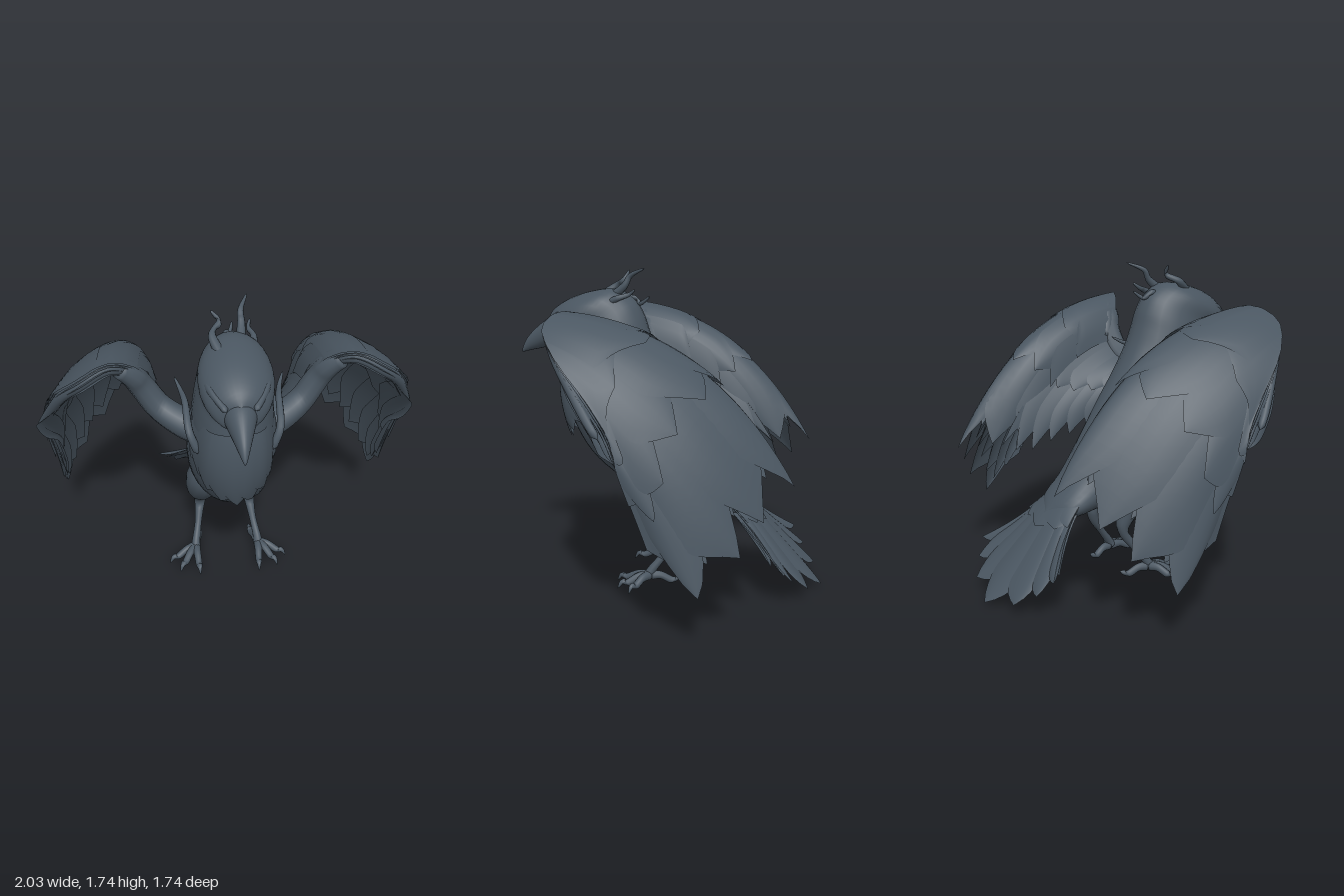
import * as THREE from 'three';
import { mergeGeometries } from 'three/addons/utils/BufferGeometryUtils.js';

const plumage = new THREE.MeshStandardMaterial({ color: 0x4a5661, side: THREE.DoubleSide });
plumage.name = 'slate plumage';

const V = (x, y, z) => new THREE.Vector3(x, y, z);
const curve = pts => new THREE.CatmullRomCurve3(pts.map(p => V(p[0], p[1], p[2])), false, 'catmullrom', 0.5);

// Smooth grid surface from fn(a, b) with a, b in 0..1; wrap closes it along a
function grid(fn, na, nb, wrap = false) {
  const pos = [], idx = [], cols = wrap ? na : na + 1;
  for (let j = 0; j <= nb; j++)
    for (let i = 0; i < cols; i++) pos.push(...fn(i / na, j / nb).toArray());
  for (let j = 0; j < nb; j++)
    for (let i = 0; i < na; i++) {
      const a = j * cols + i, b = j * cols + (i + 1) % cols, c = a + cols, d = b + cols;
      idx.push(a, b, c, b, d, c);
    }
  const g = new THREE.BufferGeometry();
  g.setAttribute('position', new THREE.Float32BufferAttribute(pos, 3));
  g.setIndex(idx);
  g.computeVertexNormals();
  return g;
}

// Skin through stations of [back z, back y, belly z, belly y, half width]
function skin(stations, nb) {
  const back = curve(stations.map(s => [s[4], s[1], s[0]]));
  const belly = curve(stations.map(s => [0, s[3], s[2]]));
  return grid((a, b) => {
    const p = back.getPoint(b), q = belly.getPoint(b), t = a * Math.PI * 2;
    const k = (1 + Math.cos(t)) / 2;
    return V(p.x * Math.sin(t), q.y + (p.y - q.y) * k, q.z + (p.z - q.z) * k);
  }, 28, nb, true);
}

// Tapered limb along points of [x, y, z, radius], pinched shut at both ends
function limb(pts, n = 20, sides = 10) {
  const c = curve(pts), radii = curve(pts.map(p => [p[3], 0, 0]));
  const f = c.computeFrenetFrames(n, false);
  return grid((a, b) => {
    const j = Math.round(b * n), t = a * Math.PI * 2;
    const r = j === 0 || j === n ? 0.0005 : radii.getPoint(b).x;
    return c.getPoint(b)
      .addScaledVector(f.normals[j], Math.cos(t) * r)
      .addScaledVector(f.binormals[j], Math.sin(t) * r);
  }, sides, n, true);
}

// Curved sheet between a leading edge and a row of tips, bulged midway
function sheet(lead, tips, bulge) {
  const A = curve(lead), T = curve(tips), B = curve(bulge);
  const at = (u, v) => {
    const p = A.getPoint(u), q = T.getPoint(u);
    const c = p.clone().add(q).multiplyScalar(0.5).addScaledVector(B.getPoint(u), 2);
    return p.multiplyScalar((1 - v) ** 2).addScaledVector(c, 2 * v * (1 - v)).addScaledVector(q, v * v);
  };
  const normal = (u, v) => {
    const u0 = Math.max(0, u - 0.02), u1 = Math.min(1, u + 0.02);
    const v0 = Math.max(0, v - 0.02), v1 = Math.min(1, v + 0.02);
    return at(u1, v).sub(at(u0, v)).cross(at(u, v1).sub(at(u, v0))).normalize();
  };
  return { at, normal };
}

// Row of overlapping feathers laid on a sheet; arch cups each blade, point shapes its tip
function feathers(s, count, length, offset, { width = 0.95, arch = 0.008, point = 1.4, taper = 0.7 } = {}) {
  const list = [];
  for (let i = 0; i < count; i++) {
    const mid = i / (count - 1);
    list.push(grid((a, b) => {
      const side = a * 2 - 1;
      const w = b < taper ? 1 : 1 - ((b - taper) / (1 - taper)) ** point;
      const u = THREE.MathUtils.clamp(mid + side * w * width / (count - 1), 0, 1);
      const v = b * length;
      return s.at(u, v).addScaledVector(s.normal(u, v), offset + w * b * (0.009 * side - arch * side * side));
    }, 6, 20));
  }
  return mergeGeometries(list);
}

export function createModel() {
  const model = new THREE.Group();
  model.name = 'raven';
  const add = (name, geometry, parent = model) => {
    const m = new THREE.Mesh(geometry, plumage);
    m.name = name;
    parent.add(m);
  };

  // Torso, neck and head
  add('body', skin([
    [-0.50, 0.44, -0.48, 0.42, 0.01], [-0.44, 0.52, -0.38, 0.40, 0.15], [-0.34, 0.64, -0.20, 0.42, 0.18],
    [-0.22, 0.83, 0.02, 0.44, 0.205], [-0.10, 1.02, 0.22, 0.54, 0.225], [0.0, 1.17, 0.42, 0.69, 0.23],
    [0.07, 1.30, 0.54, 0.87, 0.215], [0.11, 1.40, 0.60, 1.06, 0.205], [0.14, 1.49, 0.605, 1.20, 0.19],
    [0.19, 1.57, 0.60, 1.29, 0.175], [0.29, 1.63, 0.61, 1.32, 0.18], [0.42, 1.62, 0.63, 1.32, 0.176],
    [0.55, 1.58, 0.66, 1.32, 0.15], [0.65, 1.52, 0.68, 1.32, 0.10], [0.70, 1.45, 0.70, 1.34, 0.01]], 60));
  add('beak', skin([
    [0.62, 1.49, 0.62, 1.315, 0.09], [0.70, 1.46, 0.69, 1.305, 0.07], [0.77, 1.41, 0.76, 1.29, 0.046],
    [0.83, 1.35, 0.81, 1.28, 0.026], [0.86, 1.295, 0.85, 1.27, 0.01], [0.864, 1.27, 0.862, 1.267, 0.001]], 20));

  // Breast bib
  const bib = sheet(
    [[0.19, 1.24, 0.38], [0.12, 1.24, 0.55], [0, 1.25, 0.60], [-0.12, 1.24, 0.55], [-0.19, 1.24, 0.38]],
    [[0.21, 0.98, 0.38], [0.14, 0.86, 0.50], [0, 0.79, 0.555], [-0.14, 0.86, 0.50], [-0.21, 0.98, 0.38]],
    [[0.01, 0, 0], [0.01, 0, 0.03], [0, 0, 0.035], [-0.01, 0, 0.03], [-0.01, 0, 0]]);
  add('breastFeathers', feathers(bib, 9, 1, 0.01, { taper: 0.78 }));

  // Tail fan
  const tail = sheet(
    [[-0.15, 0.50, -0.36], [-0.10, 0.53, -0.37], [-0.05, 0.55, -0.37], [0, 0.56, -0.37],
      [0.05, 0.55, -0.37], [0.10, 0.53, -0.37], [0.15, 0.50, -0.36]],
    [[-0.39, 0.22, -0.68], [-0.32, 0.14, -0.74], [-0.21, 0.07, -0.81], [0, 0.02, -0.87],
      [0.21, 0.07, -0.81], [0.32, 0.14, -0.74], [0.39, 0.22, -0.68]],
    [[0.04, 0, 0], [0.02, 0, 0], [0, 0, 0], [0, 0, 0], [0, 0, 0], [-0.02, 0, 0], [-0.04, 0, 0]]);
  add('tailFeathers', feathers(tail, 7, 1, 0.005, { width: 0.68, arch: 0.02, point: 2.4, taper: 0.7 }));
  add('underTailFeathers', feathers(tail, 6, 0.88, -0.025, { width: 0.85, arch: -0.01, point: 2 }));
  add('tailCoverts', feathers(tail, 5, 0.36, 0.014));

  // Twisted crest plumes
  [[[-0.05, 1.56, 0.44, 0.03], [-0.10, 1.64, 0.33, 0.02], [-0.06, 1.675, 0.27, 0.015], [-0.10, 1.73, 0.25, 0.005]],
    [[0.03, 1.55, 0.36, 0.03], [0.05, 1.64, 0.24, 0.02], [0.05, 1.70, 0.20, 0.014], [0.09, 1.74, 0.11, 0.005]],
    [[0, 1.54, 0.32, 0.025], [-0.02, 1.58, 0.20, 0.017], [0, 1.55, 0.16, 0.013], [0.02, 1.59, 0.10, 0.005]],
    [[0.08, 1.53, 0.36, 0.025], [0.11, 1.58, 0.26, 0.017], [0.09, 1.60, 0.20, 0.012], [0.10, 1.63, 0.16, 0.005]]
  ].forEach(p => add('crestPlume', limb(p)));

  for (const s of [1, -1]) {
    const half = new THREE.Group();
    half.name = s > 0 ? 'leftSide' : 'rightSide';
    model.add(half);
    const side = (name, g) => {
      if (s < 0) {
        g.scale(-1, 1, 1);
        const i = g.index.array;
        for (let k = 0; k < i.length; k += 3) [i[k], i[k + 1]] = [i[k + 1], i[k]];
        g.computeVertexNormals();
      }
      add(name, g, half);
    };

    // Brow and eye
    side('brow', limb([[0.145, 1.50, 0.50, 0.015], [0.125, 1.49, 0.58, 0.022], [0.065, 1.44, 0.69, 0.015]]));
    const eye = new THREE.SphereGeometry(0.022, 12, 8);
    eye.translate(0.128, 1.45, 0.59);
    side('eye', eye);

    // Main wing: cupped sheet with layered feathers
    const wing = sheet(
      [[0.40, 1.27, 0.22], [0.46, 1.43, 0.29], [0.59, 1.52, 0.38], [0.74, 1.46, 0.425],
        [0.86, 1.34, 0.33], [0.95, 1.16, 0.17], [0.985, 1.04, 0.07]],
      [[0.37, 0.72, -0.42], [0.43, 0.74, -0.58], [0.52, 0.72, -0.75], [0.71, 0.59, -0.63],
        [0.83, 0.455, -0.54], [0.955, 0.29, -0.37], [0.945, 0.50, -0.13]],
      [[0, 0.11, -0.05], [-0.01, 0.15, -0.07], [0, 0.17, -0.08], [0.04, 0.18, -0.05],
        [0.06, 0.10, 0], [0, 0.03, -0.02], [-0.01, 0, 0]]);
    side('flightFeathers', feathers(wing, 7, 1, 0, { width: 0.85, arch: 0.015, taper: 0.76 }));
    side('wingCoverts', feathers(wing, 8, 0.62, 0.012));
    side('shoulderCoverts', feathers(wing, 6, 0.34, 0.022));
    side('underwingFeathers', feathers(wing, 13, 0.92, -0.02, { taper: 0.78 }));
    side('underwingCoverts', feathers(wing, 9, 0.5, -0.045));
    const edge = [];
    for (let i = 0; i <= 8; i++) {
      const u = i / 8, p = wing.at(u, 0.04).addScaledVector(wing.normal(u, 0.04), -0.022);
      edge.push([p.x, p.y, p.z, 0.052 - 0.035 * u]);
    }
    side('wingLeadingEdge', limb(edge, 32));

    // Arm joining wing to body, with its hanging feathers
    side('wingArm', limb([[0.12, 1.08, 0.30, 0.10], [0.24, 1.13, 0.30, 0.08],
      [0.36, 1.20, 0.25, 0.07], [0.44, 1.32, 0.24, 0.065], [0.49, 1.41, 0.27, 0.06], [0.56, 1.47, 0.31, 0.04]], 28));
    const inner = sheet(
      [[0.20, 1.13, 0.24], [0.28, 1.17, 0.25], [0.36, 1.23, 0.22], [0.44, 1.34, 0.22]],
      [[0.24, 0.80, -0.06], [0.29, 0.75, -0.24], [0.34, 0.69, -0.41], [0.39, 0.73, -0.54]],
      [[0, 0.05, 0], [0, 0.07, -0.02], [0, 0.08, -0.04], [0, 0.09, -0.05]]);
    side('innerWingFeathers', feathers(inner, 6, 1, 0));
    side('innerWingCoverts', feathers(inner, 5, 0.55, 0.012));

    // Curled shoulder plumes
    side('shoulderPlume', limb([[0.18, 1.06, 0.48, 0.022], [0.225, 1.18, 0.45, 0.02],
      [0.235, 1.26, 0.32, 0.017], [0.25, 1.27, 0.22, 0.013], [0.28, 1.31, 0.14, 0.005]]));
    side('smallShoulderPlume', limb([[0.18, 1.04, 0.36, 0.02], [0.215, 1.15, 0.37, 0.018],
      [0.22, 1.2, 0.28, 0.013], [0.23, 1.21, 0.2, 0.005]]));

    // Leg and foot
    side('leg', limb([[0.08, 0.74, 0.08, 0.09], [0.12, 0.58, 0.05, 0.112], [0.145, 0.46, -0.02, 0.09],
      [0.15, 0.37, -0.075, 0.052], [0.15, 0.29, -0.09, 0.033], [0.165, 0.19, -0.025, 0.021],
      [0.185, 0.10, 0.045, 0.024], [0.19, 0.055, 0.07, 0.03]], 36, 14));
    [[0.35, 0.14], [0.29, 0.22], [0.175, 0.255], [0.15, -0.11]].forEach(([x, z], i) => {
      const dx = x - 0.19, dz = z - 0.06, y = i === 3 ? 0.055 : 0.004;
      side('toe', limb([[0.19, 0.06, 0.06, 0.028], [0.19 + dx * 0.35, 0.06, 0.06 + dz * 0.35, 0.022],
        [0.19 + dx * 0.68, 0.032, 0.06 + dz * 0.68, 0.02], [0.19 + dx * 0.85, 0.042, 0.06 + dz * 0.85, 0.015],
        [x, y, z, 0.003]]));
    });
  }
  return model;
}
